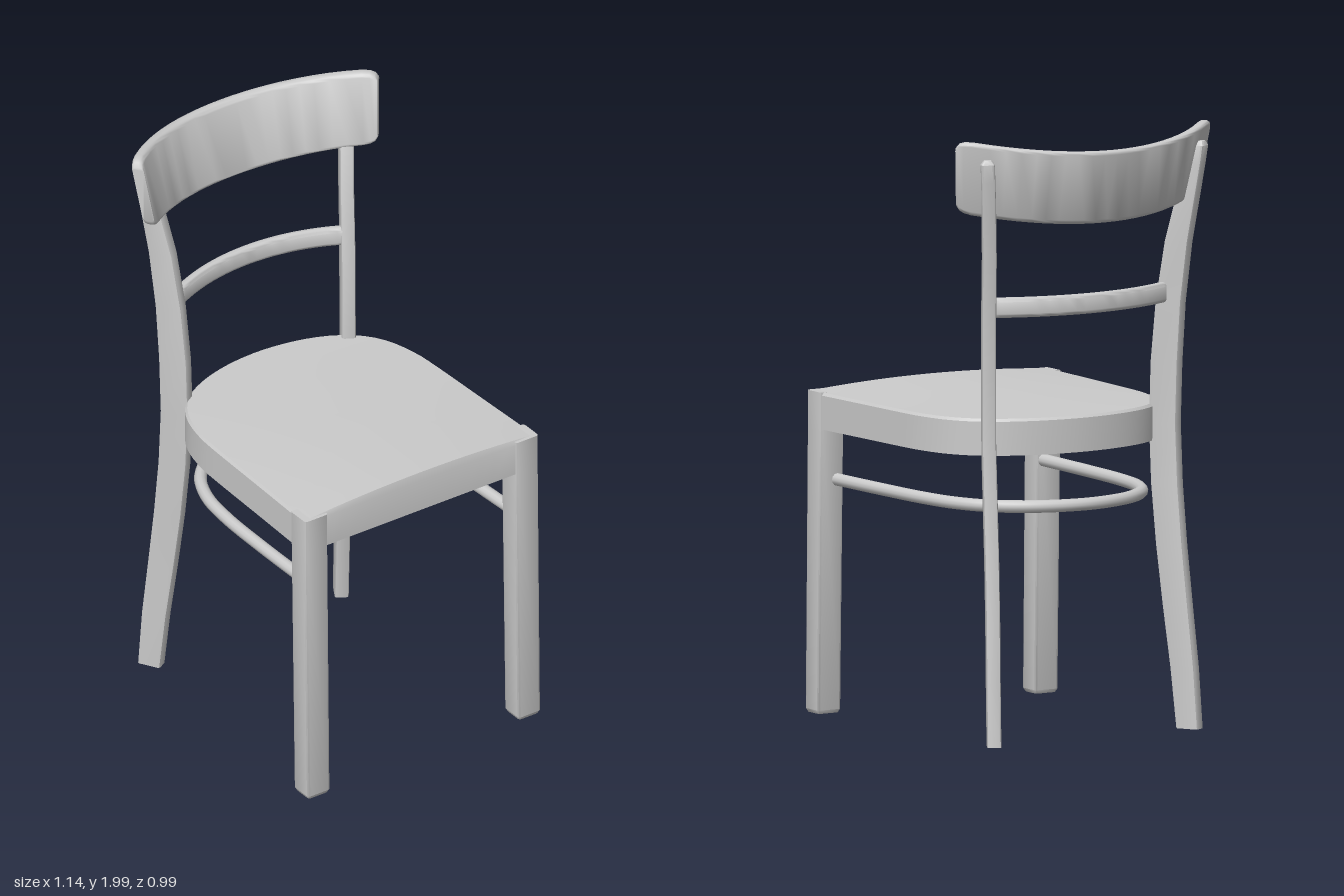
import * as THREE from 'three';
import { toCreasedNormals } from 'three/addons/utils/BufferGeometryUtils.js';

const material = new THREE.MeshStandardMaterial({ color: 0xcccccc });
const MID_Z = -0.015; // centre line of seat and front legs

// Skin a list of closed cross-sections (arrays of [x, y, z]) and cap both ends.
function loft(sections, crease = 0.6) {
  const n = sections[0].length, pos = sections.flat(2), idx = [];
  for (let s = 0; s < sections.length - 1; s++) {
    for (let i = 0; i < n; i++) {
      const a = s * n + i, b = s * n + (i + 1) % n;
      idx.push(a, b, b + n, a, b + n, a + n);
    }
  }
  const last = (sections.length - 1) * n;
  for (let i = 1; i < n - 1; i++) idx.push(0, i + 1, i, last, last + i, last + i + 1);
  // signed volume decides the outward winding
  const p = (i) => new THREE.Vector3().fromArray(pos, i * 3);
  let volume = 0;
  for (let i = 0; i < idx.length; i += 3) volume += p(idx[i]).dot(p(idx[i + 1]).cross(p(idx[i + 2])));
  if (volume < 0) idx.reverse();
  const g = new THREE.BufferGeometry();
  g.setAttribute('position', new THREE.Float32BufferAttribute(pos, 3));
  g.setIndex(idx);
  return toCreasedNormals(g, crease);
}

// Rectangle with softened corners, centred on the origin.
function softRect(w, h, r, steps = 2) {
  const pts = [];
  for (let c = 0; c < 4; c++) {
    const sx = c === 0 || c === 3 ? 1 : -1, sy = c < 2 ? 1 : -1;
    for (let k = 0; k <= steps; k++) {
      const a = (c + k / steps) * Math.PI / 2;
      pts.push([sx * (w / 2 - r) + r * Math.cos(a), sy * (h / 2 - r) + r * Math.sin(a)]);
    }
  }
  return pts;
}

function add(group, name, geometry) {
  const mesh = new THREE.Mesh(geometry, material);
  mesh.name = name;
  group.add(mesh);
}

// Seat: domed top, deep apron, hollow underside
function seatGeometry() {
  const half = [[0.55, 0.463], [0.28, 0.453], [0, 0.443], [-0.1, 0.433], [-0.2, 0.405],
    [-0.28, 0.352], [-0.345, 0.26], [-0.385, 0.14]];
  const all = [...half, [-0.4, 0], ...half.map(([x, z]) => [x, -z]).reverse()];
  const outline = new THREE.SplineCurve(all.map(([x, z]) => new THREE.Vector2(x, z))).getSpacedPoints(64);
  for (let i = 1; i < 16; i++) outline.push(new THREE.Vector2(0.55, -0.463 + 0.926 * i / 16));
  const ring = (s, y) => outline.map((q) => {
    const x = 0.08 + (q.x - 0.08) * s, z = q.y * s;
    const dome = 1.06 + 0.02 * (x + 0.4) / 0.95 * (1 - (z / 0.465) ** 2);
    return [x, y ?? dome, z + MID_Z];
  });
  return loft([ring(0.001), ring(0.25), ring(0.5), ring(0.75), ring(0.9), ring(0.985), ring(1, 1.052),
    ring(1, 0.94), ring(0.89, 0.94), ring(0.89, 1.03), ring(0.001, 1.03)]);
}

// Square front leg, side = +1 or -1
function frontLegGeometry(side) {
  const levels = [[0, 0.529, 0.07], [0.012, 0.529, 0.082], [0.94, 0.514, 0.084], [1.062, 0.514, 0.084]];
  return loft(levels.map(([y, x, w]) =>
    softRect(w, w + 0.006, 0.008).map(([u, v]) => [x + u, y, MID_Z + side * 0.42 + v])));
}

// Bent back leg, its long section turned toward the middle of the seat
function backLegGeometry(side) {
  const key = [[0, -0.417, 0.378, 0.08], [0.2, -0.4, 0.37, 0.088], [0.4, -0.378, 0.358, 0.094],
    [0.6, -0.356, 0.348, 0.098], [0.8, -0.337, 0.342, 0.1], [1, -0.326, 0.341, 0.1],
    [1.2, -0.331, 0.344, 0.1], [1.4, -0.344, 0.352, 0.094], [1.6, -0.37, 0.366, 0.085],
    [1.75, -0.397, 0.385, 0.072], [1.86, -0.42, 0.402, 0.052], [1.92, -0.432, 0.412, 0.038],
    [1.935, -0.434, 0.413, 0.02]];
  const c = Math.cos(Math.PI / 6), s = Math.sin(Math.PI / 6);
  return loft(key.map(([y, x, z, len], i) =>
    softRect(len, i === key.length - 1 ? 0.026 : 0.046, 0.008)
      .map(([u, v]) => [x + u * c - v * s, y, side * (z - u * s - v * c)])));
}

// Curved board following an arc across the back
function curvedBoard({ x, lean, bottom, top, rise, halfBottom, halfTop, thick, radius, soften, round }) {
  const profile = softRect(thick, top - bottom, round, 4);
  const ts = [-1, -0.985, -0.96, -0.92];
  for (let i = 1; i < 20; i++) ts.push(-0.92 + 1.84 * i / 20);
  ts.push(0.92, 0.96, 0.985, 1);
  return loft(ts.map((t) => {
    const e = Math.max(0, (Math.abs(t) - 0.92) / 0.08);
    const shrink = 1 - soften * (1 - Math.sqrt(1 - e * e));
    return profile.map(([u, v]) => {
      const h = v * shrink / (top - bottom) + 0.5;
      const z = t * (halfBottom + (halfTop - halfBottom) * h);
      const cos = Math.sqrt(1 - (z / radius) ** 2);
      const d = u + thick / 2;
      return [x - lean * h + radius * (1 - cos) + d * cos,
        bottom + (top - bottom) * h + rise * t * t, z * (1 - d / radius)];
    });
  }), 0.8);
}

// U-shaped stretcher running from one front leg round the back to the other
function stretcherGeometry() {
  const half = [[0.5, 0.4], [0.2, 0.392], [0, 0.38], [-0.14, 0.355], [-0.26, 0.295], [-0.35, 0.18]];
  const path = [...half, [-0.392, 0], ...half.map(([x, z]) => [x, -z]).reverse()];
  const curve = new THREE.CatmullRomCurve3(path.map(([x, z]) =>
    new THREE.Vector3(x, 0.768 + 0.006 * x, z + MID_Z * (x + 0.4) / 0.9)));
  return new THREE.TubeGeometry(curve, 72, 0.021, 12);
}

export function createModel() {
  const chair = new THREE.Group();
  chair.name = 'chair';
  add(chair, 'seat', seatGeometry());
  for (const [side, label] of [[1, 'left'], [-1, 'right']]) {
    add(chair, label + 'FrontLeg', frontLegGeometry(side));
    add(chair, label + 'BackLeg', backLegGeometry(side));
  }
  add(chair, 'backrest', curvedBoard({ x: -0.507, lean: 0.068, bottom: 1.705, top: 1.952, rise: 0.046,
    halfBottom: 0.468, halfTop: 0.497, thick: 0.038, radius: 0.7, soften: 0.2, round: 0.014 }));
  add(chair, 'backSlat', curvedBoard({ x: -0.433, lean: 0, bottom: 1.397, top: 1.464, rise: 0,
    halfBottom: 0.345, halfTop: 0.345, thick: 0.034, radius: 0.72, soften: 0, round: 0.014 }));
  add(chair, 'stretcher', stretcherGeometry());
  return chair;
}
